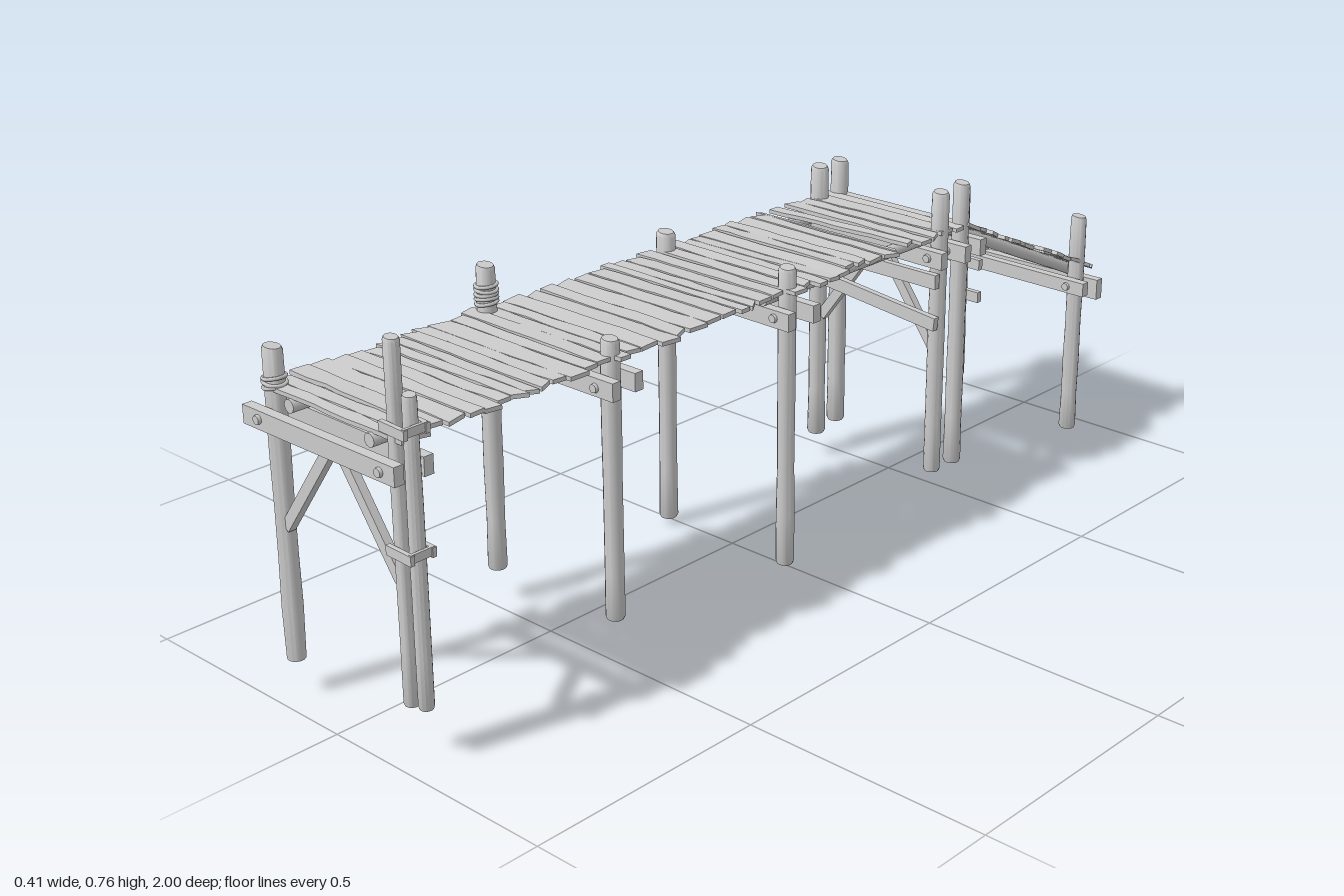
import * as THREE from 'three';
import { toCreasedNormals } from 'three/addons/utils/BufferGeometryUtils.js';

export function createModel() {
  const model = new THREE.Group();
  model.name = 'woodenPier';
  const wood = new THREE.MeshStandardMaterial({ color: 0xcccccc });
  wood.name = 'pale grey';

  let seed = 7;
  const rand = () => {
    seed = (seed * 16807) % 2147483647;
    return seed / 2147483647;
  };
  const jit = (a) => (rand() * 2 - 1) * a;

  const add = (name, geo, parent = model) => {
    const mesh = new THREE.Mesh(geo, wood);
    mesh.name = name;
    parent.add(mesh);
    return mesh;
  };
  const V = (x, y, z) => new THREE.Vector3(x, y, z);

  // Upright log with worn radius, rounded rim and slanted top
  function post(name, x, z, bottom, top, r = 0.0185, slant = 0.15) {
    const h = top - bottom;
    const pts = [new THREE.Vector2(0, 0), new THREE.Vector2(r * 0.9, 0)];
    for (let i = 0; i <= 6; i++) {
      pts.push(new THREE.Vector2(r * (1 + jit(0.06)), 0.006 + (h - 0.012) * i / 6));
    }
    pts.push(new THREE.Vector2(r * 0.82, h), new THREE.Vector2(0, h));
    const geo = new THREE.LatheGeometry(pts, 14);
    const p = geo.attributes.position;
    for (let i = 0; i < p.count; i++) {
      if (p.getY(i) > h - 0.02) p.setY(i, p.getY(i) - slant * (p.getX(i) + r));
    }
    const m = add(name, toCreasedNormals(geo, 0.7));
    m.position.set(x, bottom, z);
    m.rotation.y = Math.round(jit(1)) * 0.5;
    return m;
  }

  // Round log between two points
  function log(name, a, b, r) {
    const m = add(name, new THREE.CylinderGeometry(r, r, a.distanceTo(b), 12));
    m.position.copy(a).add(b).multiplyScalar(0.5);
    m.quaternion.setFromUnitVectors(V(0, 1, 0), b.clone().sub(a).normalize());
    return m;
  }

  // Sawn board in the XY plane from a to b
  function board(name, a, b, height, depth) {
    const m = add(name, new THREE.BoxGeometry(a.distanceTo(b), height, depth));
    m.position.copy(a).add(b).multiplyScalar(0.5);
    m.rotation.z = Math.atan2(b.y - a.y, b.x - a.x);
    return m;
  }

  // Cross beam with a bolt head at each post
  function crossBeam(z, y, side, height = 0.035) {
    const e = jit(0.006);
    board('crossBeam', V(-0.198 + e, y + jit(0.002), z), V(0.196 + e, y + jit(0.002), z), height, 0.02);
    for (const x of [-0.16, 0.155]) {
      const bolt = add('bolt', new THREE.CylinderGeometry(0.008, 0.009, 0.007, 12));
      bolt.rotation.x = Math.PI / 2 * side;
      bolt.position.set(x, y, z + side * 0.0125);
    }
  }

  // Posts: z, left x, left bottom, left top, right x, right bottom, right top
  const posts = [
    [0.955, -0.162, 0.07, 0.66, 0.153, 0.1, 0.757],
    [0.48, -0.164, 0.07, 0.68, 0.153, 0.075, 0.62],
    [0.015, -0.162, 0.015, 0.63, 0.153, 0.015, 0.63],
    [-0.45, -0.164, 0.055, 0.66, 0.153, 0.06, 0.67],
    [-0.515, -0.164, 0.065, 0.66, 0.156, 0.06, 0.675],
    [-0.95, -0.162, 0.04, 0.49, 0.153, 0, 0.5]
  ];
  for (const [z, lx, lb, lt, rx, rb, rt] of posts) {
    post('post', lx, z, lb, lt);
    post('post', rx, z, rb, rt, z > 0.9 ? 0.0145 : 0.0175);
  }
  post('splintPost', 0.181, 0.948, 0.1, 0.665, 0.0135);

  // Clamps that hold the doubled corner post
  for (const y of [0.608, 0.39]) {
    for (const z of [0.976, 0.93]) board('postClamp', V(0.14, y, z), V(0.202, y - 0.002, z), 0.018, 0.009);
    board('clampEnd', V(0.194, y, 0.953), V(0.2, y, 0.953), 0.016, 0.05);
  }

  // Cross beams clasping the posts
  for (const z of [0.955, 0.48, 0.015]) {
    crossBeam(z + 0.03, 0.537, 1);
    crossBeam(z - 0.03, 0.537, -1);
  }
  crossBeam(-0.42, 0.537, 1);
  crossBeam(-0.483, 0.537, 1);
  crossBeam(-0.545, 0.537, -1);
  crossBeam(-0.979, 0.33, -1, 0.045);
  crossBeam(-0.922, 0.345, 1, 0.03);

  // V braces on the front bent and the middle double bent
  for (const z of [0.958, -0.45]) {
    for (const s of [-1, 1]) {
      board('brace', V(s * 0.008, 0.525, z), V(s * 0.15, 0.33, z), 0.021, 0.016);
    }
  }
  board('upperTie', V(-0.17, 0.486, -0.425), V(0.17, 0.486, -0.425), 0.03, 0.014);
  board('slantedTie', V(-0.17, 0.43, -0.425), V(0.17, 0.395, -0.425), 0.028, 0.014);
  for (const y of [0.5, 0.43]) board('cleat', V(0.14, y, -0.536), V(0.195, y, -0.536), 0.022, 0.012);

  // Long rails under the deck, lapped over the central bent
  for (const s of [-1, 1]) {
    log('frontRail', V(s * 0.104, 0.569, 0.972), V(s * 0.104, 0.567, -0.03), 0.0125);
    log('rearRail', V(s * 0.129, 0.568, 0.06), V(s * 0.129, 0.568, -0.53), 0.0125);
    log('rampRail', V(s * 0.122, 0.568, -0.515), V(s * 0.122, 0.355, -0.99), 0.0125);
  }

  // Weathered deck plank with ragged ends and a wavy edge
  function plank(w, thick = 0.008) {
    const geo = new THREE.BoxGeometry(0.354, thick, w, 8, 1, 1);
    const p = geo.attributes.position;
    const edge = [0, 1].map(() => Array.from({ length: 9 }, () => jit(0.0025)));
    const ends = [jit(0.01), jit(0.01), jit(0.01), jit(0.01)];
    for (let i = 0; i < p.count; i++) {
      const x = p.getX(i), k = p.getZ(i) > 0 ? 1 : 0;
      const col = Math.round((x / 0.354 + 0.5) * 8);
      p.setZ(i, p.getZ(i) + edge[k][col]);
      if (col === 0) p.setX(i, x + ends[k]);
      if (col === 8) p.setX(i, x + ends[k + 2]);
    }
    geo.computeVertexNormals();
    return toCreasedNormals(geo, 0.6);
  }

  // Lay planks along a straight run in the local -z direction
  function layDeck(name, origin, pitch, length) {
    const deck = new THREE.Group();
    deck.name = name;
    deck.position.copy(origin);
    deck.rotation.x = pitch;
    model.add(deck);
    let d = 0;
    while (d < length - 0.012) {
      const w = Math.min(0.027 + rand() * 0.02, length - d);
      const m = add('plank', plank(w - 0.003), deck);
      m.position.set(-0.004 + jit(0.006), jit(0.002), -d - w / 2);
      m.rotation.set(jit(0.05), jit(0.009), jit(0.006));
      d += w;
    }
  }
  layDeck('frontDeck', V(0, 0.585, 0.968), 0, 1.26);
  layDeck('rearDeck', V(0, 0.585, -0.36), 0, 0.155);
  layDeck('rampDeck', V(0, 0.586, -0.517), -0.422, 0.525);

  // Loose plank crossing the gap
  const loose = add('loosePlank', plank(0.026));
  loose.position.set(-0.012, 0.586, -0.335);
  loose.rotation.y = 0.06;

  // Rope coils on the posts
  function coils(x, z, y0, n, r) {
    for (let i = 0; i < n; i++) {
      const ring = add('ropeCoil', new THREE.TorusGeometry(r, 0.0035, 6, 18));
      ring.position.set(x, y0 + i * 0.0085, z);
      ring.rotation.set(Math.PI / 2 + jit(0.18), jit(0.18), 0);
    }
  }
  coils(-0.164, 0.48, 0.605, 5, 0.02);
  coils(-0.162, 0.955, 0.585, 3, 0.02);
  coils(-0.164, 0.48, 0.535, 2, 0.021);

  // Slack rope hanging between the first two bents
  const sag = [];
  for (let i = 0; i <= 10; i++) {
    const t = i / 10, u = 2 * t - 1;
    sag.push(V(-0.186, 0.41 + 0.14 * u * u, 0.93 - 0.43 * t));
  }
  sag.unshift(V(-0.182, 0.6, 0.952));
  sag.push(V(-0.184, 0.6, 0.482));
  add('hangingRope', new THREE.TubeGeometry(new THREE.CatmullRomCurve3(sag), 48, 0.0035, 6));

  return model;
}
